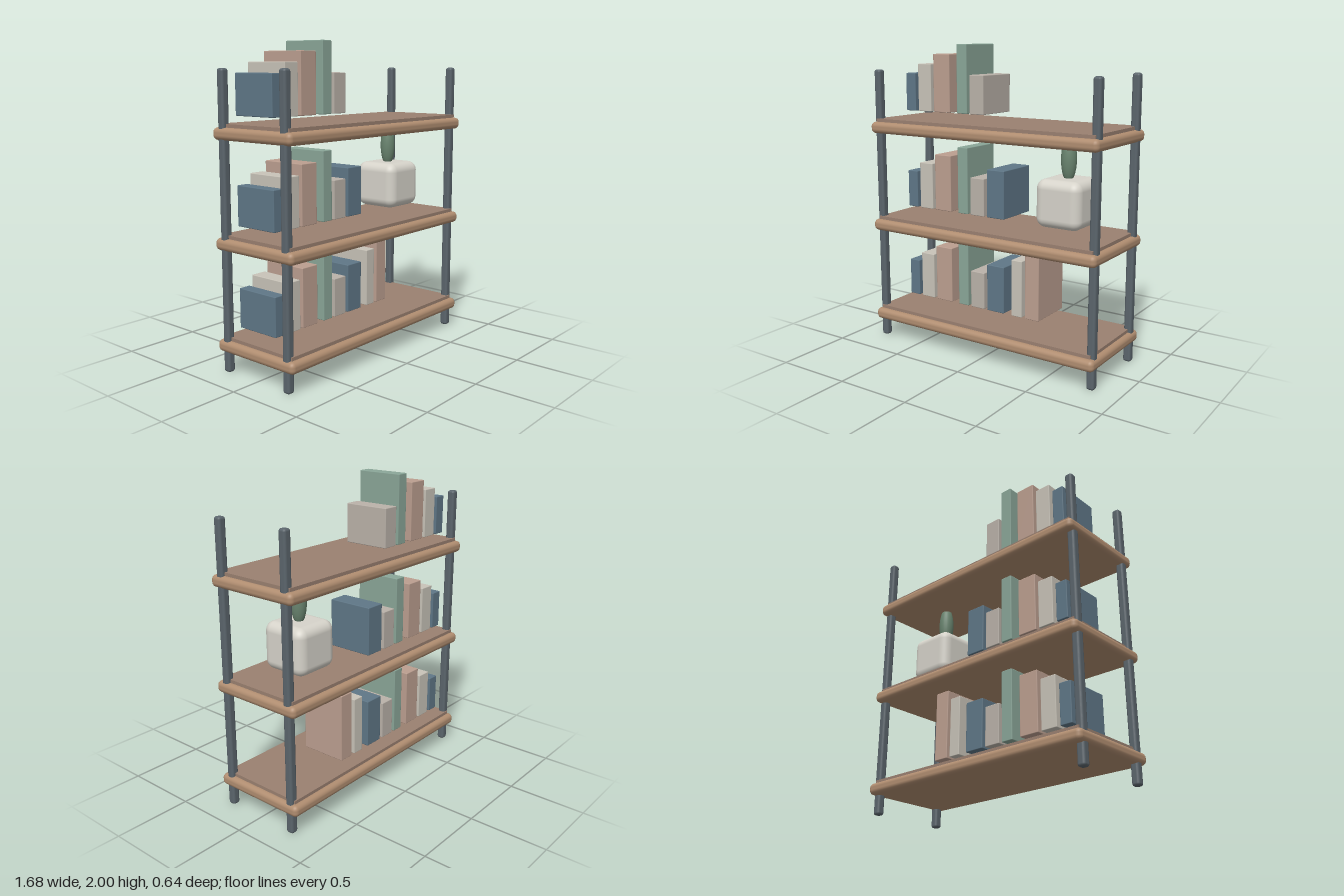
import * as THREE from 'three';
import { RoundedBoxGeometry } from 'three/addons/geometries/RoundedBoxGeometry.js';

const mat = (color) => new THREE.MeshStandardMaterial({ color });

function add(parent, name, geometry, material, x, y, z) {
  const mesh = new THREE.Mesh(geometry, material);
  mesh.name = name;
  mesh.position.set(x, y, z);
  parent.add(mesh);
  return mesh;
}

export function createModel() {
  const model = new THREE.Group();
  model.name = 'bookshelf';

  const wood = mat(0xb08d70), panelWood = mat(0x9a8070), metal = mat(0x5b656c);
  const slate = mat(0x5f7787), cream = mat(0xc8c3b8), clay = mat(0xbc9f90);
  const sage = mat(0x8aa698), stone = mat(0xbab2a9);

  // Four corner posts
  const postGeometry = new RoundedBoxGeometry(0.052, 1.835, 0.052, 2, 0.016);
  for (const x of [-0.805, 0.805])
    for (const z of [-0.253, 0.253])
      add(model, 'post', postGeometry, metal, x, 0.9175, z);

  // Books, left to right: x from, x to, height, cover
  const books = [
    [-0.729, -0.649, 0.25, slate],
    [-0.625, -0.517, 0.313, cream],
    [-0.495, -0.363, 0.378, clay],
    [-0.305, -0.225, 0.442, sage],
    [-0.204, -0.095, 0.25, stone],
    [-0.072, 0.061, 0.315, slate],
    [0.119, 0.199, 0.378, cream],
    [0.223, 0.326, 0.442, clay],
  ];

  // Shelves with an inset top panel and a row of books each
  const boardGeometry = new RoundedBoxGeometry(1.684, 0.075, 0.642, 3, 0.03);
  const panelGeometry = new THREE.BoxGeometry(1.62, 0.03, 0.574);
  [[0.125, 8], [0.758, 6], [1.419, 5]].forEach(([y, count], i) => {
    const shelf = new THREE.Group();
    shelf.name = `shelf${i + 1}`;
    shelf.position.y = y;
    model.add(shelf);
    add(shelf, 'board', boardGeometry, wood, 0, 0.0375, 0);
    add(shelf, 'panel', panelGeometry, panelWood, 0, 0.081, 0);
    for (const [x0, x1, h, cover] of books.slice(0, count))
      add(shelf, 'book', new RoundedBoxGeometry(x1 - x0, h, 0.308, 1, 0.005), cover,
        (x0 + x1) / 2, 0.139 + h / 2, -0.079);
  });

  // Planter on the middle shelf
  add(model, 'planter', new RoundedBoxGeometry(0.312, 0.302, 0.316, 5, 0.06), mat(0xd6d3ca), 0.471, 1.047, -0.027);
  const plant = add(model, 'plant', new THREE.SphereGeometry(1, 24, 16), mat(0x6a8570), 0.472, 1.314, -0.028);
  plant.scale.set(0.049, 0.145, 0.049);

  return model;
}
